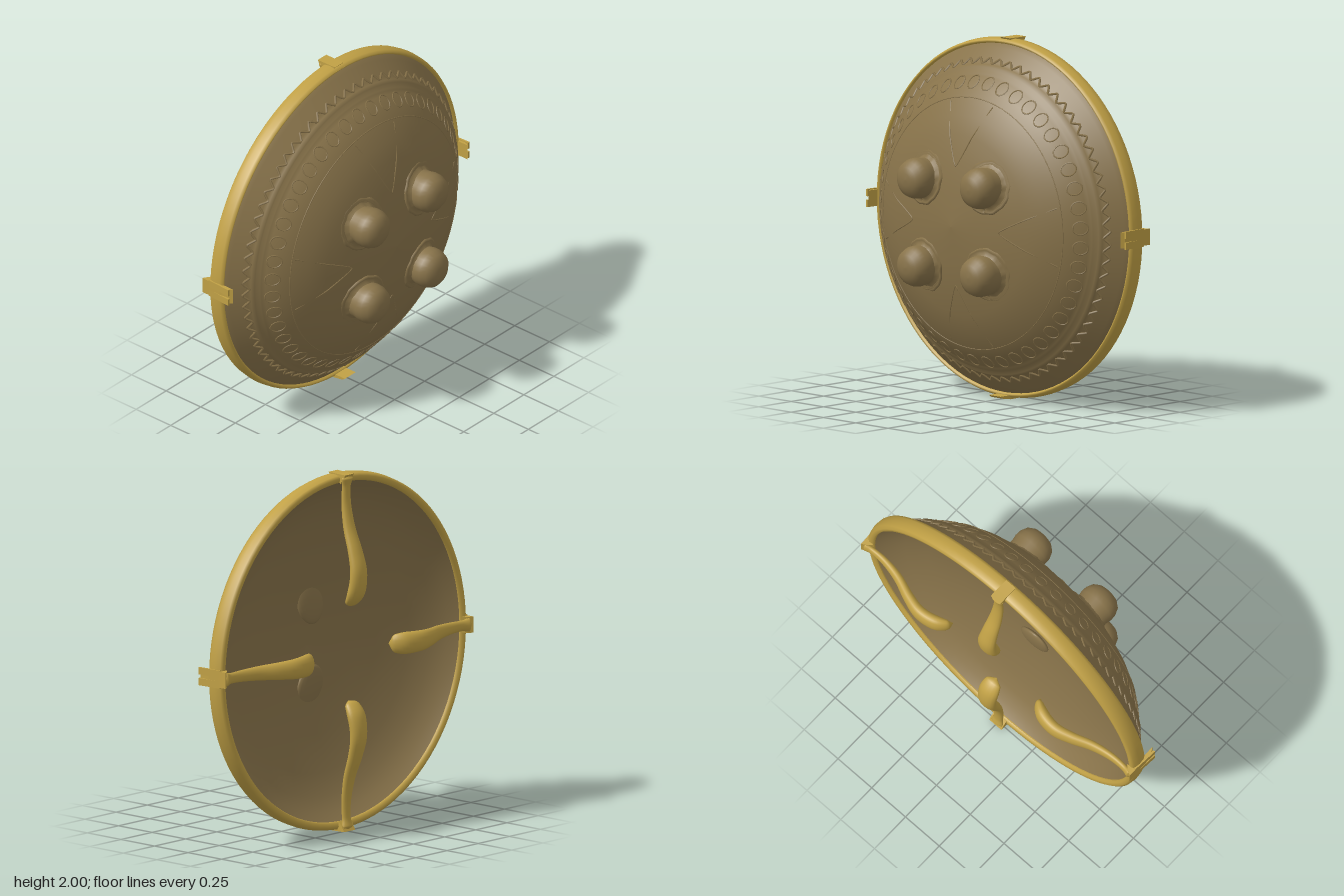
import * as THREE from 'three';
import { mergeVertices, mergeGeometries } from 'three/addons/utils/BufferGeometryUtils.js';

const bronze = new THREE.MeshStandardMaterial({ name: 'aged bronze', color: 0x88734a });
const gold = new THREE.MeshStandardMaterial({ name: 'gold', color: 0xc0a045 });

// Front and back faces of the bowl as radius, depth
const FRONT = [[0.972, -0.17], [0.962, -0.148], [0.94, -0.13], [0.9, -0.085], [0.87, -0.06], [0.858, -0.045],
  [0.848, -0.025], [0.832, -0.03], [0.825, -0.008], [0.81, -0.01], [0.8, 0.01], [0.745, 0.06], [0.69, 0.1],
  [0.6, 0.15], [0.5, 0.19], [0.36, 0.225], [0.2, 0.255], [0, 0.268]];
const BACK = [[0, 0.045], [0.15, 0.04], [0.3, 0.025], [0.5, -0.008], [0.7, -0.06], [0.82, -0.11], [0.9, -0.165], [0.95, -0.22]];

// Depth of the front face at a given radius
function depthAt(r) {
  for (let i = 1; i < FRONT.length; i++) {
    const [r0, z0] = FRONT[i - 1], [r1, z1] = FRONT[i];
    if (r >= r1) return z0 + (z1 - z0) * (r0 - r) / (r0 - r1);
  }
  return FRONT.at(-1)[1];
}

// Turned form whose axis points to the front
function turned(profile, segments) {
  return new THREE.LatheGeometry(profile.map(([r, z]) => new THREE.Vector2(r, z)), segments).rotateX(Math.PI / 2);
}

// Raised line following the front face, from points in x, y
function raisedLine(points, radius, steps, closed = false) {
  const pts = points.map(([x, y]) => new THREE.Vector3(x, y, depthAt(Math.hypot(x, y))));
  const curve = new THREE.CatmullRomCurve3(pts, closed, 'catmullrom', 0.2);
  return new THREE.TubeGeometry(curve, steps, radius, 5, closed);
}

// Grip running outward along +y with swelling oval cross-sections; reach moves its free end inward
function gripGeometry(reach) {
  const path = new THREE.CatmullRomCurve3([[0.325, -0.264], [0.34, -0.29], [0.4, -0.327], [0.5, -0.342], [0.6, -0.318],
    [0.72, -0.273], [0.84, -0.25], [0.93, -0.25], [0.975, -0.258], [0.99, -0.264]]
    .map(([r, z]) => new THREE.Vector3(0, r - reach * (1 - r) / 0.67, z)));
  // half width, half thickness
  const size = new THREE.CatmullRomCurve3([[0.002, 0.002], [0.05, 0.024], [0.062, 0.037], [0.058, 0.035], [0.05, 0.03],
    [0.041, 0.025], [0.033, 0.02], [0.03, 0.017], [0.04, 0.02], [0.002, 0.002]].map(([a, b]) => new THREE.Vector3(a, b, 0)));
  let geo = new THREE.CylinderGeometry(1, 1, 1, 16, 48, true);
  const pos = geo.attributes.position;
  for (let i = 0; i < pos.count; i++) {
    const t = pos.getY(i) + 0.5, x = pos.getX(i), n = pos.getZ(i);
    const p = path.getPoint(t), d = path.getTangent(t), s = size.getPoint(t);
    pos.setXYZ(i, x * s.x, p.y - d.z * n * s.y, p.z + d.y * n * s.y);
  }
  geo.deleteAttribute('uv');
  geo.deleteAttribute('normal');
  geo = mergeVertices(geo);
  geo.computeVertexNormals();
  return geo;
}

// Clip wrapping the rim from the back to the given front depth
function clipGeometry(front, width) {
  const shape = new THREE.Shape([[-0.275, 0.995], [-0.258, 0.965], [-0.235, 0.94], [-0.228, 0.98], [-0.14, 0.975],
    [front, 0.975], [front - 0.02, 0.988], [-0.15, 0.998], [-0.22, 0.996]].map(([z, r]) => new THREE.Vector2(-z, r)));
  return new THREE.ExtrudeGeometry(shape, { depth: width, bevelEnabled: false })
    .translate(0, 0, -width / 2).rotateY(Math.PI / 2);
}

export function createModel() {
  const model = new THREE.Group();
  model.name = 'roundShield';
  const body = new THREE.Group();
  body.name = 'shieldBody';
  body.position.y = 1;
  model.add(body);
  const add = (geo, mat, name, parent = body) => {
    const mesh = new THREE.Mesh(geo, mat);
    mesh.name = name;
    parent.add(mesh);
    return mesh;
  };

  // Bowl and rim
  add(turned(FRONT, 96), bronze, 'bowlFront');
  add(turned(BACK, 96), bronze, 'bowlBack');
  add(turned([[0.945, -0.22], [0.952, -0.233], [0.972, -0.236], [0.987, -0.225], [0.993, -0.19], [0.989, -0.155],
    [0.98, -0.138], [0.969, -0.14], [0.962, -0.155], [0.945, -0.19], [0.945, -0.22]], 96), gold, 'rim');

  // Zigzag border
  const zigzag = [];
  for (let i = 0; i < 144; i++) {
    const a = i / 144 * Math.PI * 2, r = i % 2 ? 0.892 : 0.862;
    zigzag.push([r * Math.cos(a), r * Math.sin(a)]);
  }
  add(raisedLine(zigzag, 0.007, 576, true), bronze, 'zigzagBorder');

  // Ring of small embossed circles with a fine inner ridge
  const circles = [];
  for (let i = 0; i < 44; i++) {
    const a = (i + 0.5) / 44 * Math.PI * 2;
    circles.push(new THREE.TorusGeometry(0.036, 0.0035, 5, 20).scale(1, 1.2, 1).rotateX(0.72)
      .translate(0, -0.772, depthAt(0.772)).rotateZ(a));
  }
  add(mergeGeometries(circles), bronze, 'circleBorder');
  add(new THREE.TorusGeometry(0.695, 0.003, 6, 96).translate(0, 0, depthAt(0.695)), bronze, 'innerRidge');

  // Faint pointed leaves radiating from the centre
  const leaves = [];
  for (let i = 0; i < 4; i++) {
    const c = i * Math.PI / 2;
    const at = (r, a) => [r * Math.sin(c + a), r * Math.cos(c + a)];
    leaves.push(raisedLine([at(0.68, -0.24), at(0.5, -0.17), at(0.33, 0), at(0.5, 0.17), at(0.68, 0.24)], 0.004, 40));
  }
  add(mergeGeometries(leaves), bronze, 'leafPattern');

  // Four bosses with ragged collars
  for (const sx of [-1, 1]) for (const sy of [-1, 1]) {
    const boss = new THREE.Group();
    boss.name = 'boss';
    boss.position.set(sx * 0.243, sy * 0.243, 0);
    body.add(boss);
    add(turned([[0.106, 0.17], [0.106, 0.24], [0.113, 0.275], [0.111, 0.31], [0.096, 0.345], [0.068, 0.367],
      [0.033, 0.377], [0, 0.379]], 28), bronze, 'bossKnob', boss);
    const collar = turned([[0.158, 0.19], [0.15, 0.222], [0.138, 0.23], [0.125, 0.222], [0.105, 0.245]], 48);
    const p = collar.attributes.position;
    for (let i = 0; i < p.count; i++) {
      const x = p.getX(i), y = p.getY(i), a = Math.atan2(y, x);
      const k = 1 + 0.012 * Math.sin(a * 9) + 0.012 * Math.sin(a * 14);
      // lean the collar to the slope of the bowl
      p.setXYZ(i, x * k, y * k, p.getZ(i) - 0.17 * (sx * x + sy * y));
    }
    collar.computeVertexNormals();
    add(collar, bronze, 'bossCollar', boss);
  }

  // Two shallow lumps on the back of the bowl
  for (const sy of [-1, 1]) {
    const lump = add(new THREE.SphereGeometry(1, 20, 12), bronze, 'backLump');
    lump.scale.set(0.1, 0.13, 0.025);
    lump.position.set(-0.01, sy * 0.24, 0.034);
    lump.rotation.set(sy * 0.1, 0, -sy * 0.3);
  }

  // Four grips, each held by a clip around the rim; the top clip stays flush with the rim
  const longGrip = gripGeometry(0.055), shortGrip = gripGeometry(0);
  const flushClip = clipGeometry(-0.138, 0.07), hookedClip = clipGeometry(-0.07, 0.09);
  for (let i = 0; i < 4; i++) {
    const handle = new THREE.Group();
    handle.name = 'handle';
    handle.rotation.z = i * Math.PI / 2;
    body.add(handle);
    add(i % 2 ? shortGrip : longGrip, gold, 'grip', handle);
    add(i ? hookedClip : flushClip, gold, 'rimClip', handle);
    // raised bands on the side clips
    if (i % 2) for (const x of [-0.03, 0.03]) {
      const band = add(new THREE.BoxGeometry(0.04, 0.012, 0.15), gold, 'clipBand', handle);
      band.position.set(x, 0.994, -0.155);
      band.rotation.x = -0.06;
    }
  }
  return model;
}
